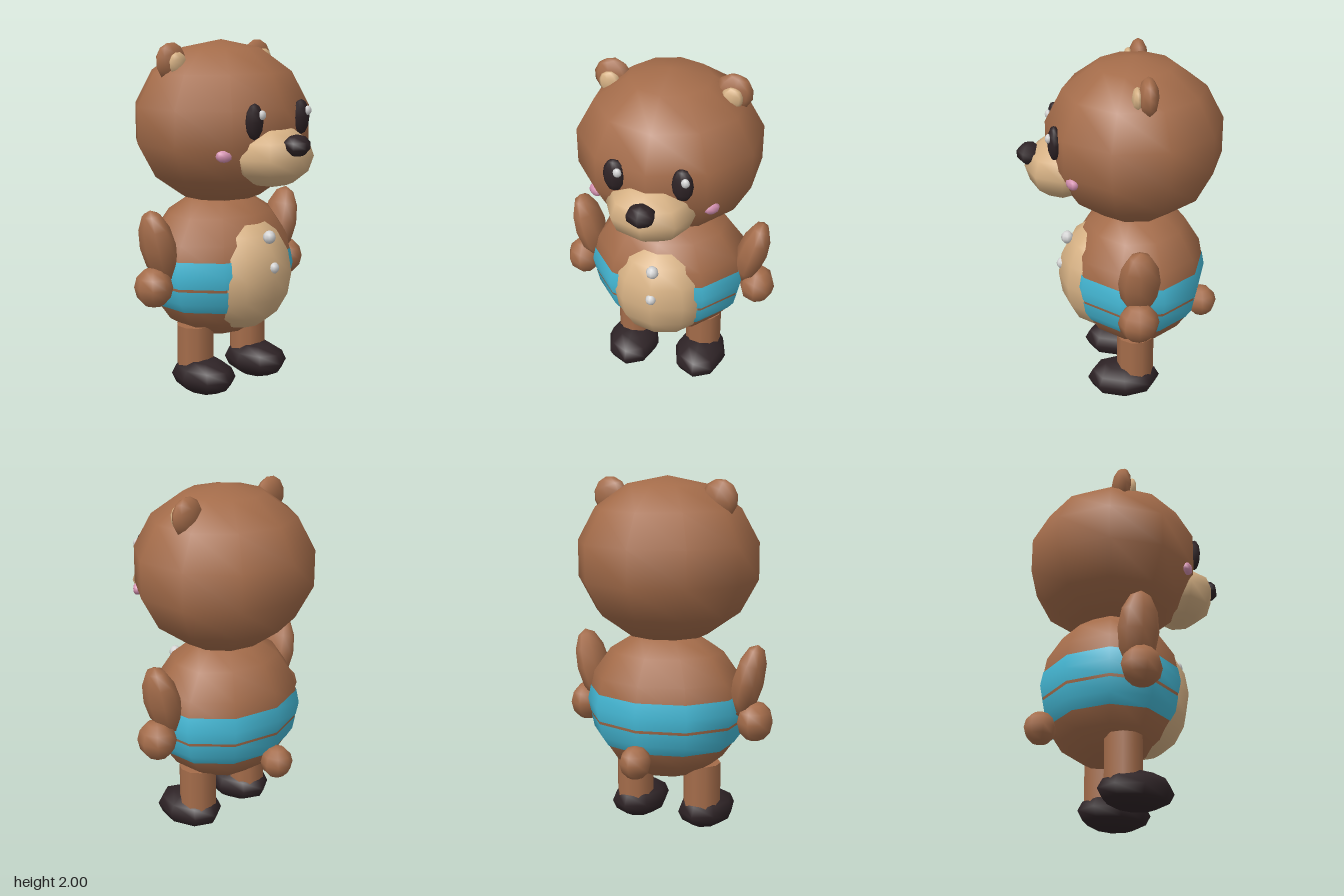
import * as THREE from 'three';

export function createModel() {
  const model = new THREE.Group();
  const mat = (name, color, side = THREE.FrontSide) => {
    const m = new THREE.MeshStandardMaterial({ color, side });
    m.name = name;
    return m;
  };
  const brown = mat('brown fur', 0xa46c4a);
  const tan = mat('tan fur', 0xd6b184);
  const blue = mat('blue cloth', 0x45b9d6, THREE.DoubleSide);
  const dark = mat('dark', 0x2e2326);
  const silver = mat('silver', 0xd4d4d4);
  const pink = mat('pink', 0xd490b0);

  function add(name, geometry, material, position) {
    const mesh = new THREE.Mesh(geometry, material);
    mesh.name = name;
    mesh.position.set(...position);
    model.add(mesh);
    return mesh;
  }

  // Low-poly ellipsoid with a vertex column on the front centre line
  function ball(name, material, position, radii, sides = 8, rings = 6) {
    const g = new THREE.SphereGeometry(1, sides, rings);
    g.rotateY(Math.PI / 2);
    g.scale(...radii);
    return add(name, g, material, position);
  }

  // Head and body
  ball('head', brown, [0, 1.54, -0.077], [0.523, 0.46, 0.5], 10, 7);
  const bodyAt = [0, 0.73, -0.09];
  const bodyRadii = [0.463, 0.43, 0.395];
  ball('body', brown, bodyAt, bodyRadii, 10, 8);

  // Trunks: two bands that hug the body's facets
  const bodyRings = [];
  for (let i = 0; i <= 8; i++) {
    const a = (i / 8) * Math.PI;
    bodyRings.push([-Math.cos(a), Math.sin(a)]);
  }
  function bodyRadius(h) {
    const i = bodyRings.findIndex((r) => r[0] > h);
    const [h0, r0] = bodyRings[i - 1];
    const [h1, r1] = bodyRings[i];
    return r0 + ((r1 - r0) * (h - h0)) / (h1 - h0);
  }
  function band(name, y0, y1) {
    const h0 = (y0 - bodyAt[1]) / bodyRadii[1];
    const h1 = (y1 - bodyAt[1]) / bodyRadii[1];
    const heights = [h0, ...bodyRings.map((r) => r[0]).filter((h) => h > h0 && h < h1), h1];
    const profile = heights.map((h) => new THREE.Vector2(bodyRadius(h) * 1.01, h));
    const g = new THREE.LatheGeometry(profile, 10);
    g.scale(...bodyRadii);
    add(name, g, blue, bodyAt);
  }
  band('trunksLower', 0.51, 0.642);
  band('trunksUpper', 0.658, 0.81);

  // Belly, buttons and tail
  ball('belly', tan, [0, 0.7, 0.1], [0.305, 0.33, 0.26], 10, 8);
  ball('upperButton', silver, [0, 0.93, 0.305], [0.036, 0.038, 0.036]);
  ball('lowerButton', silver, [0, 0.762, 0.34], [0.031, 0.033, 0.031]);
  ball('tail', brown, [0, 0.48, -0.48], [0.09, 0.093, 0.09]);

  // Muzzle and nose
  ball('muzzle', tan, [0, 1.385, 0.325], [0.245, 0.17, 0.205]);
  ball('nose', dark, [0, 1.458, 0.5], [0.083, 0.061, 0.073], 6, 5);

  for (const [side, s] of [['left', 1], ['right', -1]]) {
    // Face
    ball(side + 'Eye', dark, [s * 0.182, 1.588, 0.363], [0.06, 0.097, 0.036]);
    ball(side + 'EyeGlint', silver, [s * 0.18 + 0.025, 1.623, 0.393], [0.024, 0.026, 0.018]);
    const cheek = ball(side + 'Cheek', pink, [s * 0.318, 1.41, 0.275], [0.046, 0.034, 0.026]);
    cheek.rotation.y = s * 0.6;

    // Ear with inner pad
    const ear = ball(side + 'Ear', brown, [s * 0.33, 1.885, -0.122], [0.106, 0.106, 0.055]);
    ear.rotation.z = -s * 0.3;
    const pad = ball(side + 'EarPad', tan, [s * 0.33, 1.875, -0.065], [0.062, 0.066, 0.03]);
    pad.rotation.z = -s * 0.3;

    // Arm leaning outward at the top, with a round paw
    const arm = ball(side + 'Arm', brown, [s * 0.488, 0.895, -0.07], [0.088, 0.215, 0.115]);
    arm.rotation.z = -s * 0.25;
    ball(side + 'Hand', brown, [s * 0.527, 0.672, -0.065], [0.103, 0.113, 0.113]);

    // Leg and foot
    add(side + 'Leg', new THREE.CylinderGeometry(0.106, 0.106, 0.29, 10), brown, [s * 0.213, 0.25, -0.073]);
    ball(side + 'Foot', dark, [s * 0.213, 0.105, -0.005], [0.157, 0.105, 0.21]);
  }
  return model;
}
